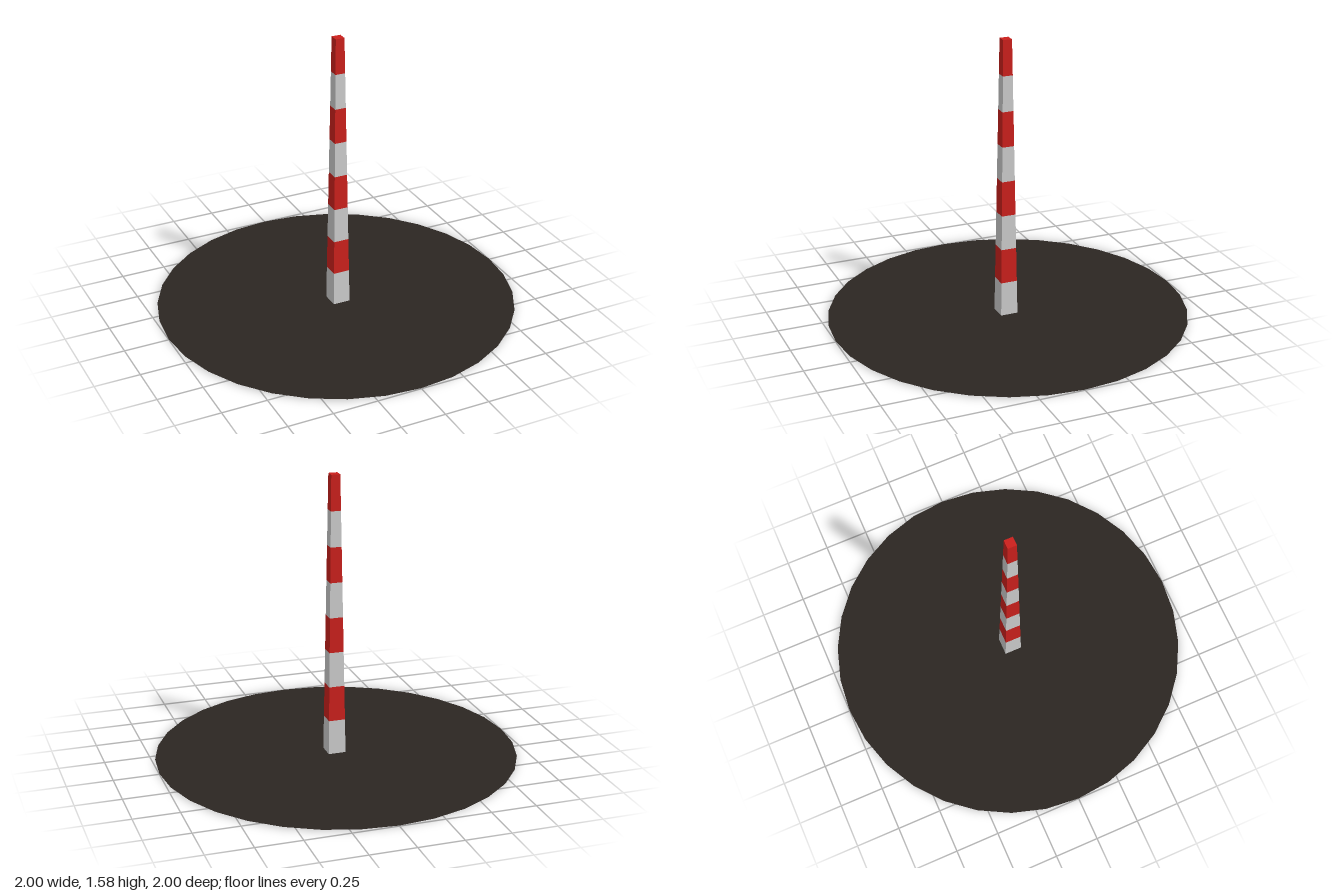
import * as THREE from 'three';

export function createModel() {
  const group = new THREE.Group();
  const grey = new THREE.MeshStandardMaterial({ color: 0xcccccc, flatShading: true });
  const red = new THREE.MeshStandardMaterial({ color: 0xcb201c, flatShading: true });
  const dark = new THREE.MeshStandardMaterial({ color: 0x2b2622, side: THREE.DoubleSide });

  // Flat round ground disc
  const disc = new THREE.Mesh(new THREE.CircleGeometry(1, 32).rotateX(-Math.PI / 2), dark);
  disc.name = 'groundDisc';
  disc.position.y = 0.003;
  group.add(disc);

  // Tapered square pole made of alternating grey and red bands
  const pole = new THREE.Group();
  pole.name = 'stripedPole';
  pole.position.set(0.005, 0, 0.014);
  const bands = 8, height = 1.575, step = height / bands;
  const halfWidth = (i) => THREE.MathUtils.lerp(0.049, 0.025, i / bands);
  for (let i = 0; i < bands; i++) {
    const open = i > 0 && i < bands - 1;
    const geometry = new THREE.CylinderGeometry(
      halfWidth(i + 1) * Math.SQRT2, halfWidth(i) * Math.SQRT2, step, 4, 1, open
    ).rotateY(Math.PI / 4);
    const band = new THREE.Mesh(geometry, i % 2 ? red : grey);
    band.name = (i % 2 ? 'redBand' : 'greyBand') + (i + 1);
    band.position.y = (i + 0.5) * step;
    pole.add(band);
  }
  group.add(pole);
  return group;
}
